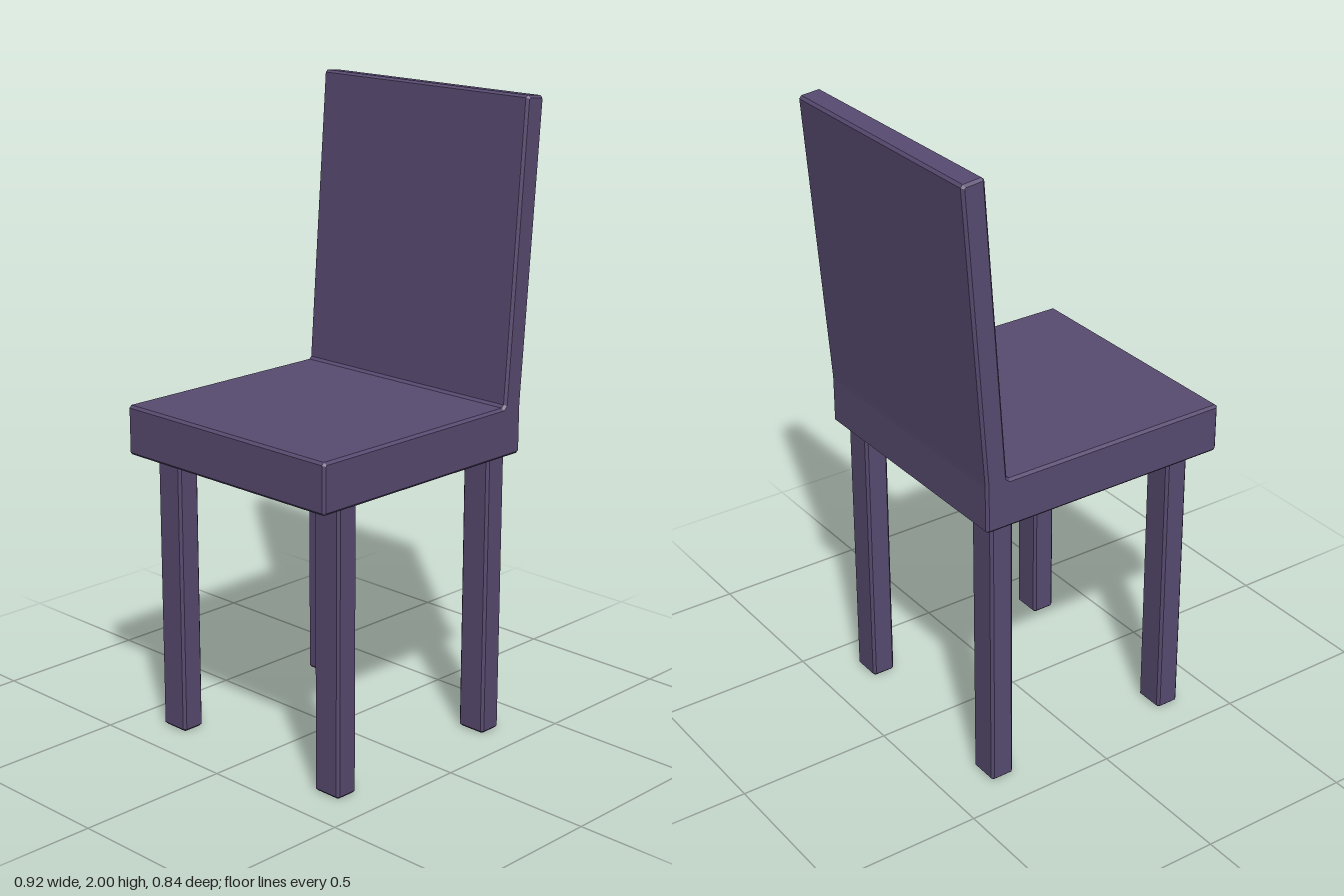
import * as THREE from 'three';

const BEVEL = 0.008;

// Closed outline with every corner cut by a small chamfer
function chamferedShape(corners) {
  const pts = corners.map(([x, y]) => new THREE.Vector2(x, y));
  const n = pts.length;
  const toward = (a, b) => a.clone().add(b.clone().sub(a).setLength(BEVEL));
  const outline = [];
  pts.forEach((p, i) => {
    outline.push(toward(p, pts[(i + n - 1) % n]), toward(p, pts[(i + 1) % n]));
  });
  return new THREE.Shape(outline);
}

// Bevelled prism of the given total depth, starting at z = 0
function bevelledPrism(corners, depth) {
  const geometry = new THREE.ExtrudeGeometry(chamferedShape(corners), {
    depth: depth - 2 * BEVEL,
    bevelEnabled: true,
    bevelSegments: 1,
    bevelThickness: BEVEL,
    bevelSize: BEVEL,
    bevelOffset: -BEVEL,
  });
  return geometry.translate(0, 0, BEVEL);
}

export function createModel() {
  const model = new THREE.Group();
  model.name = 'chair';
  const material = new THREE.MeshStandardMaterial({ color: 0x574a70 });

  // Seat and leaning backrest in one side profile
  const width = 0.836;
  const profile = [
    [-0.46, 0.91], [0.388, 0.91], [0.388, 1.065], [0.46, 1.992],
    [0.385, 2.0], [0.315, 1.067], [-0.46, 1.067],
  ];
  const seat = new THREE.Mesh(bevelledPrism(profile, width).translate(0, 0, -width / 2), material);
  seat.name = 'seatAndBackrest';
  model.add(seat);

  // Four straight rectangular legs
  const hx = 0.039, hz = 0.05;
  const legGeometry = bevelledPrism([[-hx, -hz], [hx, -hz], [hx, hz], [-hx, hz]], 0.92)
    .rotateX(-Math.PI / 2);
  for (const [end, x] of [['front', -0.333], ['back', 0.314]]) {
    for (const [side, z] of [['Left', 0.338], ['Right', -0.338]]) {
      const leg = new THREE.Mesh(legGeometry, material);
      leg.name = `${end}${side}Leg`;
      leg.position.set(x, 0, z);
      model.add(leg);
    }
  }
  return model;
}
